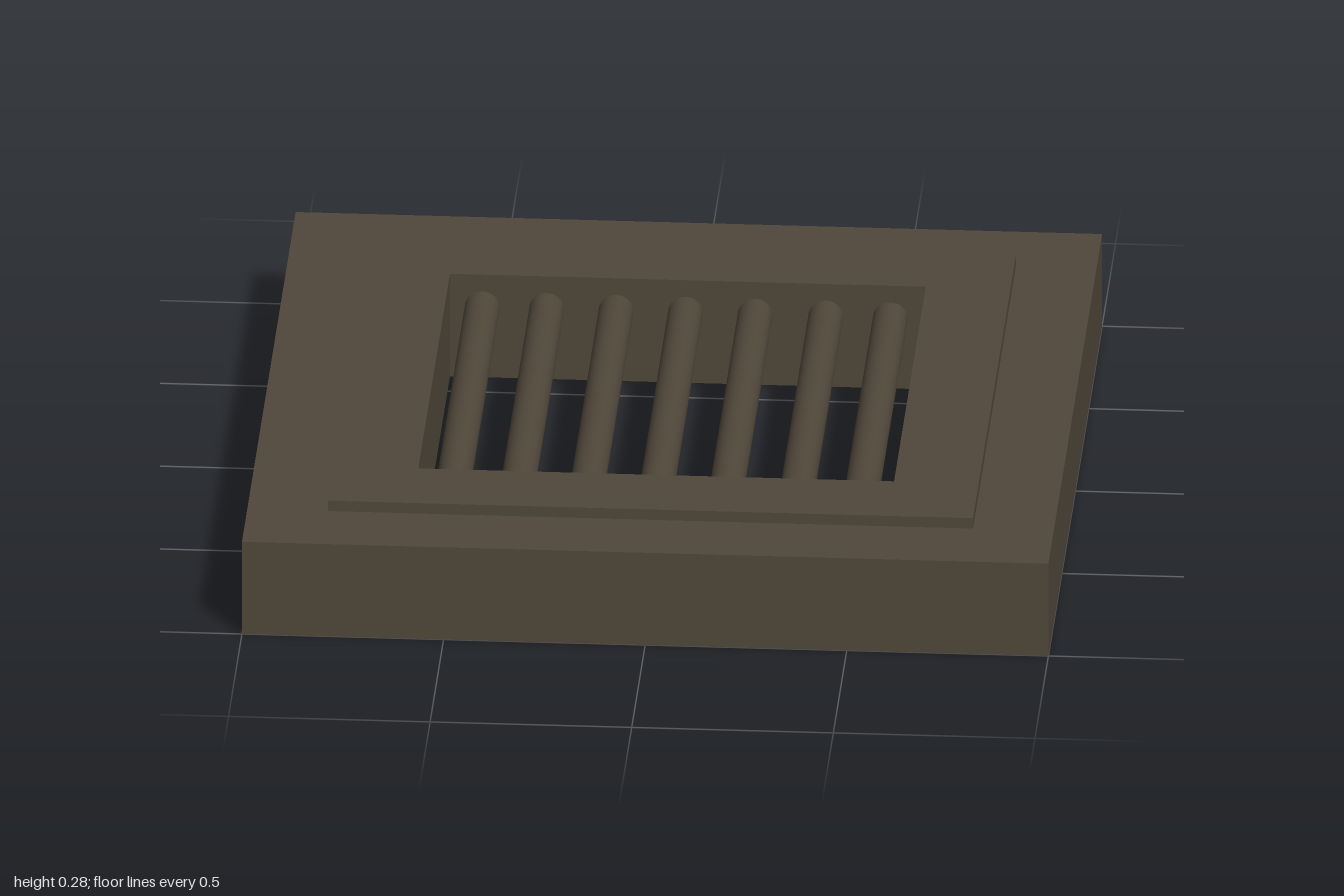
import * as THREE from 'three';

const HOLE = 0.59; // half width of the square opening

// Square frame lying flat, from height y0 to y1
function squareFrame(name, half, y0, y1, material) {
  const square = (Type, h) => new Type([
    new THREE.Vector2(-h, -h), new THREE.Vector2(h, -h),
    new THREE.Vector2(h, h), new THREE.Vector2(-h, h),
  ]);
  const shape = square(THREE.Shape, half);
  shape.holes.push(square(THREE.Path, HOLE));
  const geometry = new THREE.ExtrudeGeometry(shape, { depth: y1 - y0, bevelEnabled: false });
  geometry.rotateX(-Math.PI / 2).translate(0, y0, 0);
  const mesh = new THREE.Mesh(geometry, material);
  mesh.name = name;
  return mesh;
}

export function createModel() {
  const model = new THREE.Group();
  model.name = 'barredGrate';
  const darkIron = new THREE.MeshStandardMaterial({ color: 0x50473a });
  darkIron.name = 'dark iron';

  // Thick base with a thinner raised rim around the opening
  model.add(squareFrame('baseFrame', 1, 0, 0.25, darkIron));
  model.add(squareFrame('raisedRim', 0.8, 0.25, 0.278, darkIron));

  // Round bars, slightly unevenly spaced, let into the frame at both ends
  const bars = new THREE.Group();
  bars.name = 'bars';
  const barGeometry = new THREE.CylinderGeometry(0.043, 0.043, 2 * HOLE + 0.04, 32).rotateX(Math.PI / 2);
  [-0.51, -0.35, -0.178, -0.006, 0.167, 0.342, 0.502].forEach((x, i) => {
    const bar = new THREE.Mesh(barGeometry, darkIron);
    bar.name = `bar${i + 1}`;
    bar.position.set(x, 0.19, 0);
    bars.add(bar);
  });
  model.add(bars);
  return model;
}
